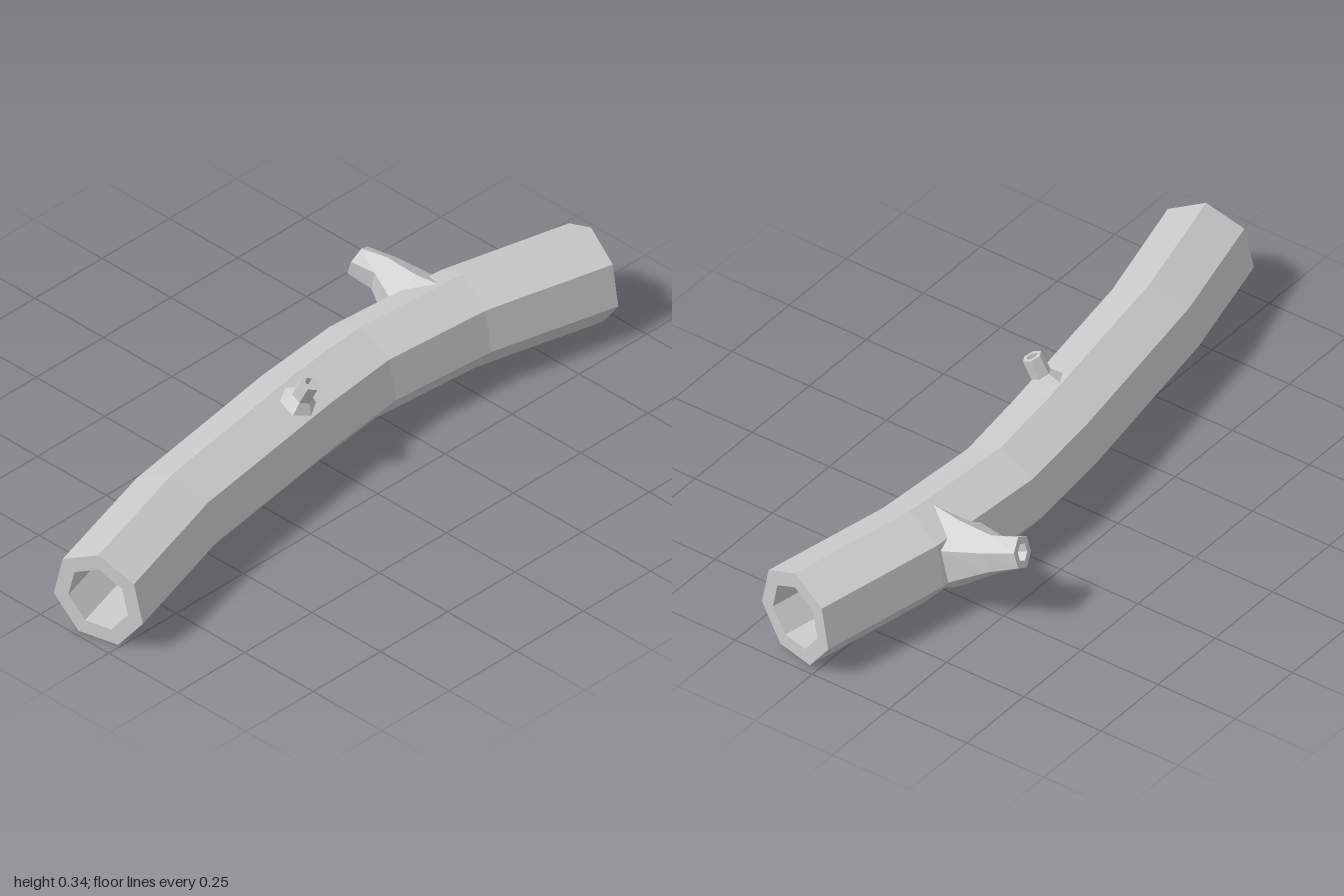
import * as THREE from 'three';

const V = (x, y, z) => new THREE.Vector3(x, y, z);

// A polygon ring around c, spanned by u and v (u x v points along the path)
function ring(c, u, v, sides) {
  return Array.from({ length: sides }, (_, i) => {
    const a = Math.PI / 2 + (i * Math.PI * 2) / sides;
    return c.clone().addScaledVector(u, Math.cos(a)).addScaledVector(v, Math.sin(a));
  });
}

// Skin a list of rings into a faceted surface
function loft(name, rings, material) {
  const pos = [];
  for (let k = 0; k < rings.length - 1; k++) {
    const a = rings[k], b = rings[k + 1], n = a.length;
    for (let i = 0; i < n; i++) {
      const j = (i + 1) % n;
      for (const p of [a[i], a[j], b[j], a[i], b[j], b[i]]) pos.push(p.x, p.y, p.z);
    }
  }
  const geo = new THREE.BufferGeometry();
  geo.setAttribute('position', new THREE.Float32BufferAttribute(pos, 3));
  geo.computeVertexNormals();
  const mesh = new THREE.Mesh(geo, material);
  mesh.name = name;
  return mesh;
}

// Rings that sink a closed socket into the end of a stub
function socket(c, u, v, inward, scale) {
  const su = u.clone().multiplyScalar(scale), sv = v.clone().multiplyScalar(scale);
  const floor = c.clone().add(inward);
  return [ring(c, su, sv, 6), ring(floor, su, sv, 6), ring(floor, V(0, 0, 0), V(0, 0, 0), 6)];
}

export function createModel() {
  const group = new THREE.Group();
  group.name = 'hollowLog';
  const wood = new THREE.MeshStandardMaterial({ color: 0xcccccc, flatShading: true });

  // Hollow seven-sided trunk: x, y, z of the centre, z slope of the path, radius
  const sections = [
    [-0.97, 0.127, 0.182, -0.235, 0.139],
    [-0.59, 0.143, 0.08, -0.245, 0.138],
    [-0.04, 0.145, -0.004, -0.16, 0.139],
    [0.22, 0.145, -0.032, 0, 0.137],
    [0.578, 0.144, -0.005, 0.22, 0.138],
    [0.967, 0.136, 0.08, 0.25, 0.139],
  ];
  const trunkRing = ([x, y, z, slope, r], s) => {
    const t = V(1, 0, slope).normalize().multiplyScalar(r * s);
    return ring(V(x, y, z), V(t.z, 0, -t.x), V(0, r * s, 0), 7);
  };
  const outer = sections.map((s) => trunkRing(s, 1));
  const inner = sections.map((s) => trunkRing(s, 0.67)).reverse();
  group.add(loft('trunk', [...outer, ...inner, outer[0]], wood));

  // Broken branch at the back, flaring into the trunk
  const branch = [
    [V(0.51, 0.15, -0.06), V(-0.1, 0, 0), V(0, 0.122, 0.03)],
    [V(0.512, 0.16, -0.125), V(-0.093, 0, 0), V(0, 0.1, 0.01)],
    [V(0.515, 0.204, -0.232), V(-0.052, 0, 0.005), V(0, 0.056, 0.012)],
    [V(0.488, 0.225, -0.302), V(-0.046, 0, 0.01), V(0, 0.043, 0.014)],
  ];
  const [bc, bu, bv] = branch[3];
  group.add(loft('backBranch', [
    ...branch.map(([c, u, v]) => ring(c, u, v, 6)),
    ...socket(bc, bu, bv, V(0.008, -0.008, 0.03), 0.55),
  ], wood));

  // Small twig stub on the upper front facet: height along its axis, radius
  const axis = V(0.1, 0.9, 0.43).normalize();
  const side = V(1, 0, 0).addScaledVector(axis, -axis.x).normalize();
  const up = axis.clone().cross(side);
  const base = V(-0.105, 0.25, 0.06);
  const twig = [[-0.02, 0.056], [0.004, 0.054], [0.034, 0.029], [0.091, 0.028]].map(([h, r]) => [
    base.clone().addScaledVector(axis, h),
    side.clone().multiplyScalar(r),
    up.clone().multiplyScalar(r),
  ]);
  const [tc, tu, tv] = twig[3];
  group.add(loft('twigStub', [
    ...twig.map(([c, u, v]) => ring(c, u, v, 6)),
    ...socket(tc, tu, tv, axis.clone().multiplyScalar(-0.025), 0.55),
  ], wood));

  return group;
}
